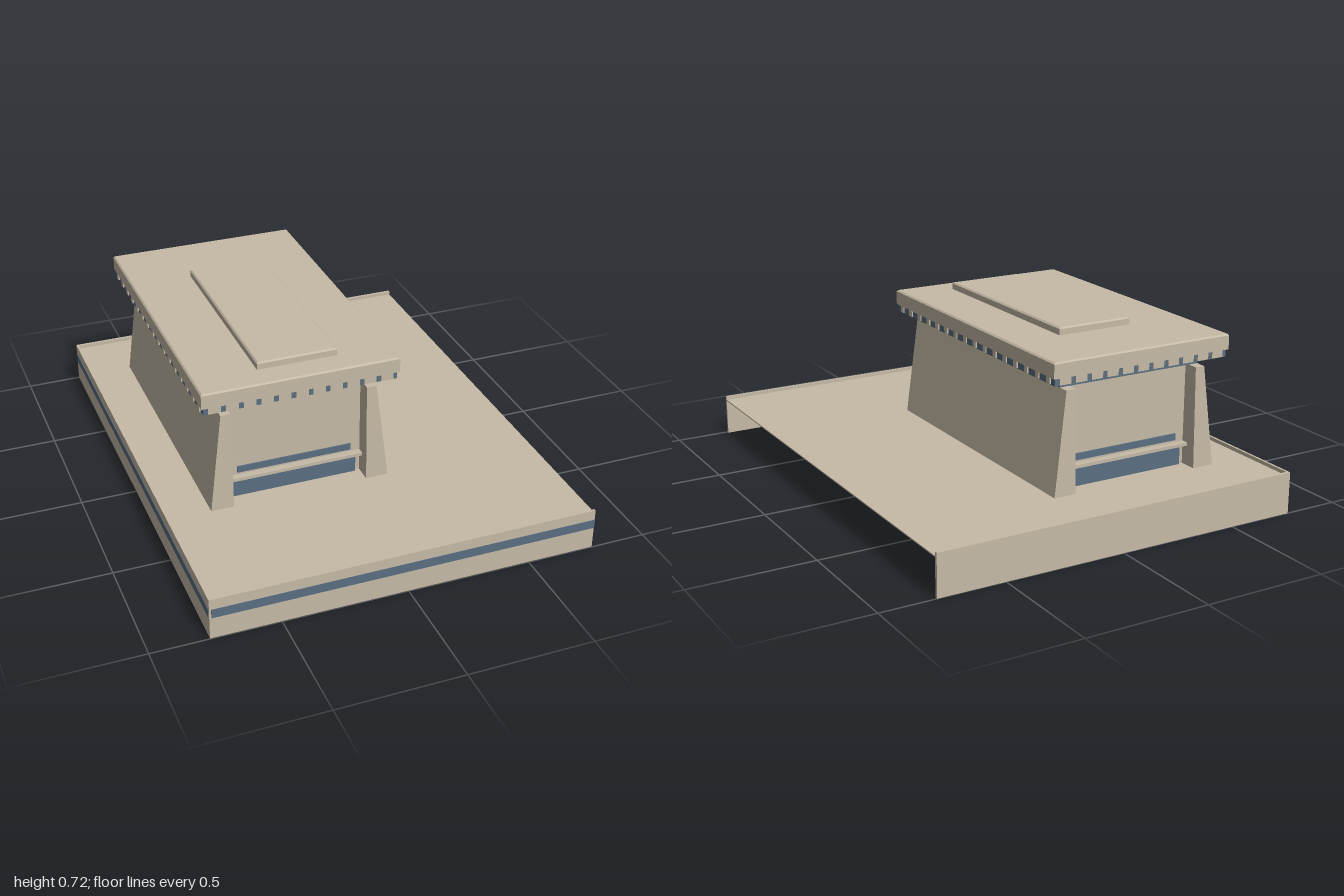
import * as THREE from 'three';

const stone = new THREE.MeshStandardMaterial({ color: 0xc5baa6 });
stone.name = 'warm stone';
const blue = new THREE.MeshStandardMaterial({ color: 0x5a6e82 });
blue.name = 'slate blue';

// Box given by its limits; inset pulls chosen top sides inwards: [x0, x1, z0, z1]
function block(name, material, [x0, x1], [y0, y1], [z0, z1], inset = [0, 0, 0, 0]) {
  const geo = new THREE.BoxGeometry(x1 - x0, y1 - y0, z1 - z0);
  const p = geo.attributes.position;
  for (let i = 0; i < p.count; i++) {
    if (p.getY(i) < 0) continue;
    p.setX(i, p.getX(i) + (p.getX(i) < 0 ? inset[0] : -inset[1]));
    p.setZ(i, p.getZ(i) + (p.getZ(i) < 0 ? inset[2] : -inset[3]));
  }
  geo.computeVertexNormals();
  const mesh = new THREE.Mesh(geo, material);
  mesh.position.set((x0 + x1) / 2, (y0 + y1) / 2, (z0 + z1) / 2);
  mesh.name = name;
  return mesh;
}

// Slab with a fine chamfer around its top
function slab(name, xs, [y0, y1], zs) {
  const g = new THREE.Group();
  const c = 0.006;
  g.name = name;
  g.add(block(name + 'Body', stone, xs, [y0, y1 - c], zs));
  g.add(block(name + 'Edge', stone, xs, [y1 - c, y1], zs, [c, c, c, c]));
  return g;
}

// Terrace: a floor with low walls on three sides, open on the +x side
function terrace() {
  const g = new THREE.Group();
  g.name = 'terrace';
  g.add(
    block('floor', stone, [-0.765, 0.775], [0.15, 0.155], [-0.99, 0.99]),
    block('frontWall', stone, [-0.765, 0.775], [0, 0.17], [0.988, 0.998]),
    block('backWall', stone, [-0.765, 0.775], [0, 0.17], [-1, -0.988]),
    block('sideWall', stone, [-0.773, -0.763], [0, 0.17], [-1, 0.998]),
    block('frontStripe', blue, [-0.765, 0.775], [0.09, 0.127], [0.997, 1]),
    block('sideStripe', blue, [-0.775, -0.772], [0.09, 0.127], [-0.99, 0.99])
  );
  return g;
}

// Main hall: battered side walls with recessed end walls between them
function hall() {
  const g = new THREE.Group();
  const y = [0.155, 0.565];
  g.name = 'hall';
  g.add(
    block('sideWallRight', stone, [-0.592, -0.5], y, [-0.745, 0.46], [0.052, 0, 0.01, 0.01]),
    block('sideWallLeft', stone, [0.05, 0.142], y, [-0.745, 0.46], [0, 0.052, 0.01, 0.01]),
    block('core', stone, [-0.5, 0.05], y, [-0.67, 0.385]),
    block('frieze', blue, [-0.54, 0.09], [0.565, 0.6], [-0.69, 0.41])
  );
  // Plinth, ledge and band on both end walls
  for (const [side, face, s] of [['front', 0.385, 1], ['back', -0.67, -1]]) {
    const out = d => (s > 0 ? [face, face + d] : [face - d, face]);
    g.add(
      block(side + 'Plinth', blue, [-0.48, 0.03], [0.155, 0.235], out(0.009)),
      block(side + 'Ledge', stone, [-0.5, 0.05], [0.235, 0.248], out(0.03)),
      block(side + 'Band', blue, [-0.46, 0.01], [0.258, 0.285], out(0.006))
    );
  }
  return g;
}

// Roof: cornice slab over a blue band with a row of dentils on each side
function roof() {
  const g = new THREE.Group();
  const [x0, x1, z0, z1] = [-0.623, 0.17, -0.775, 0.487];
  const y = [0.603, 0.63];
  const d = 0.008;
  g.name = 'roof';
  g.add(
    slab('cornice', [x0, x1], [0.63, 0.692], [z0, z1]),
    slab('topSlab', [-0.37, -0.046], [0.692, 0.722], [-0.47, 0.382]),
    block('corniceBand', blue, [x0 + d, x1 - d], [0.6, 0.63], [z0 + d, z1 - d])
  );
  const midX = (x0 + x1) / 2, midZ = (z0 + z1) / 2;
  for (let i = -5; i <= 5; i++) {
    const x = midX + i * 0.069;
    g.add(
      block('frontDentil', stone, [x - 0.025, x + 0.025], y, [z1 - d, z1 - 0.002]),
      block('backDentil', stone, [x - 0.025, x + 0.025], y, [z0 + 0.002, z0 + d])
    );
  }
  for (let i = -7.5; i <= 7.5; i++) {
    const z = midZ + i * 0.078;
    g.add(
      block('leftDentil', stone, [x1 - d, x1 - 0.002], y, [z - 0.012, z + 0.012]),
      block('rightDentil', stone, [x0 + 0.002, x0 + d], y, [z - 0.012, z + 0.012])
    );
  }
  return g;
}

export function createModel() {
  const model = new THREE.Group();
  model.name = 'pavilionOnTerrace';
  model.add(terrace(), hall(), roof());
  return model;
}
